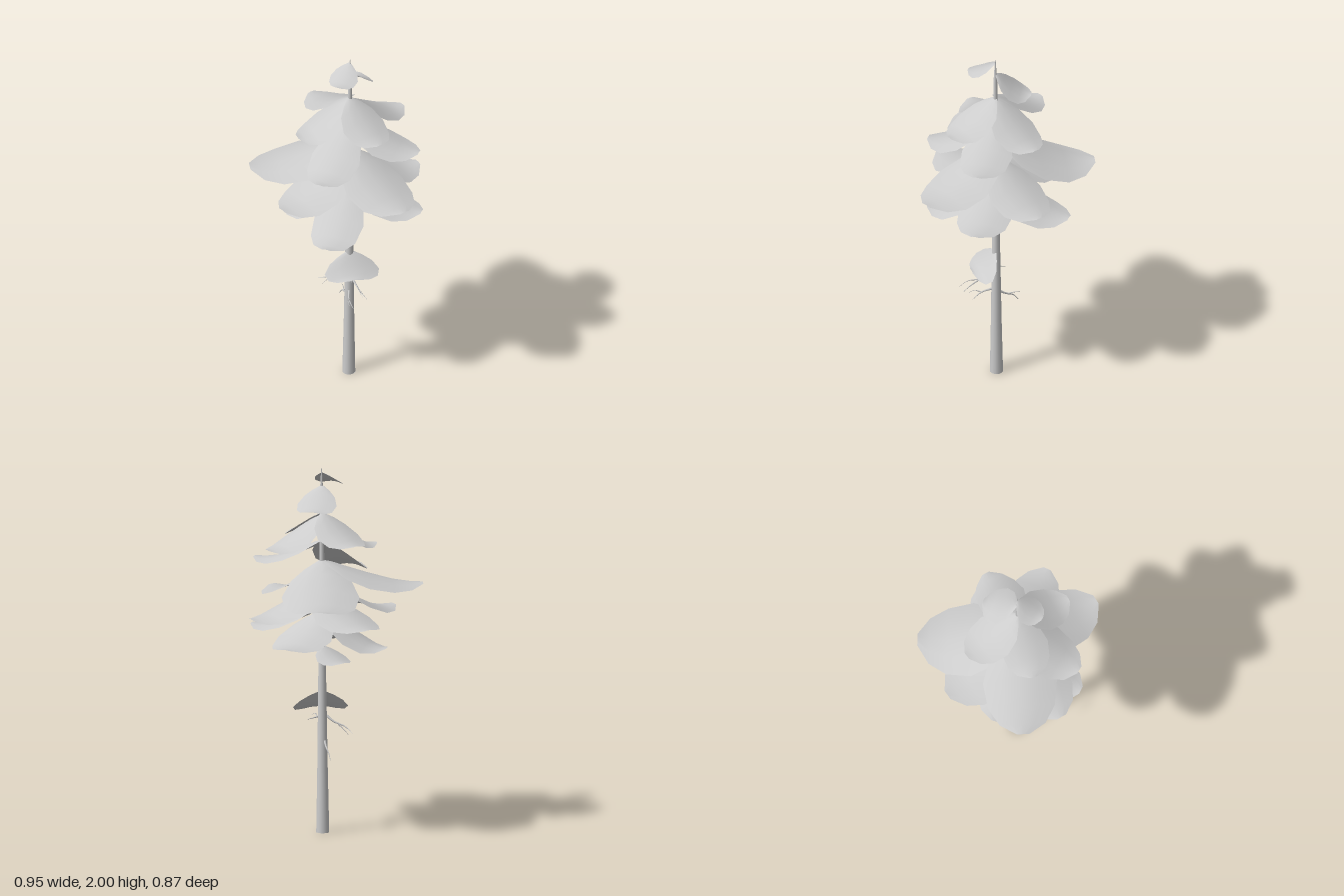
import * as THREE from 'three';

const TX = -0.022, TZ = -0.017; // trunk axis

// Frond outline rows: distance along, relative half width, relative fall
const ROWS = [
  [0, 0.1, 0], [0.1, 0.45, 0.1], [0.22, 0.78, 0.29], [0.45, 1, 0.62],
  [0.7, 0.9, 0.92], [0.88, 0.62, 1.02], [1, 0.16, 1],
];
const COLS = [-1, -0.5, 0, 0.5, 1];

// Broad drooping frond from the trunk at height y0 to the tip (x, y, z)
function frondGeometry(y0, x, y, z, halfWidth) {
  const dx = x - TX, dz = z - TZ, len = Math.hypot(dx, dz);
  const px = dz / len, pz = -dx / len;
  const pos = [], idx = [], n = COLS.length;
  for (const [t, w, f] of ROWS) {
    for (const v of COLS) {
      const side = v * w * halfWidth;
      const sag = 0.3 * halfWidth * w * v * v * (1 - 0.6 * t);
      pos.push(TX + dx * t + px * side, y0 + (y - y0) * f - sag, TZ + dz * t + pz * side);
    }
  }
  for (let r = 0; r < ROWS.length - 1; r++) {
    for (let c = 0; c < n - 1; c++) {
      const a = r * n + c, b = a + 1, d = a + n, e = d + 1;
      idx.push(a, b, d, b, e, d);
    }
  }
  const g = new THREE.BufferGeometry();
  g.setAttribute('position', new THREE.Float32BufferAttribute(pos, 3));
  g.setIndex(idx);
  g.computeVertexNormals();
  // Keep the face fronts upward
  if (g.attributes.normal.getY(2 * n + 2) < 0) {
    g.setIndex(idx.reverse());
    g.computeVertexNormals();
  }
  return g;
}

// Start height, tip x, y, z, half width
const CROWN = [
  [1.98, 0.03, 1.91, 0.13, 0.08], [1.91, -0.12, 1.8, -0.185, 0.11],
];
const UPPER = [
  [1.75, -0.15, 1.58, 0.26, 0.13], [1.76, 0.28, 1.62, 0.06, 0.125],
  [1.76, -0.35, 1.63, -0.06, 0.13], [1.75, 0.05, 1.59, -0.355, 0.13],
  [1.61, 0.34, 1.49, -0.18, 0.14], [1.61, 0.1, 1.42, 0.35, 0.14],
];
const MIDDLE = [
  [1.5, -0.36, 1.37, 0.41, 0.2], [1.5, -0.41, 1.32, -0.39, 0.21],
  [1.44, 0.47, 1.28, 0.07, 0.18], [1.37, 0.1, 1.21, -0.425, 0.16],
  [1.39, -0.1, 1.21, 0.43, 0.17], [1.31, -0.47, 1.19, -0.08, 0.17],
];
const LOWER = [
  [1.25, 0.36, 1.12, -0.18, 0.15], [1.22, -0.16, 1.08, -0.415, 0.16],
  [1.22, -0.34, 1.04, 0.17, 0.16], [1.22, 0.13, 1.01, 0.33, 0.14],
  [1.03, -0.21, 0.96, -0.03, 0.1], [0.78, 0.09, 0.67, 0.06, 0.15],
];

// Bare twigs: points along each, then thickness
const TWIGS = [
  [[[-0.02, 0.65, 0], [-0.08, 0.61, 0.02], [-0.13, 0.59, 0.05], [-0.19, 0.56, 0.05]], 0.008],
  [[[-0.1, 0.6, 0.03], [-0.14, 0.56, 0.05], [-0.15, 0.54, 0.06]], 0.004],
  [[[-0.02, 0.65, 0], [0.05, 0.62, 0.02], [0.11, 0.6, 0.04], [0.17, 0.58, 0.05]], 0.008],
  [[[0.06, 0.615, 0.02], [0.12, 0.62, 0.06], [0.17, 0.6, 0.08]], 0.004],
  [[[0, 0.625, 0.01], [0.04, 0.64, 0.04], [0.07, 0.64, 0.06]], 0.004],
  [[[-0.03, 0.52, -0.01], [-0.08, 0.48, -0.04], [-0.12, 0.46, -0.06], [-0.15, 0.42, -0.07]], 0.008],
  [[[-0.09, 0.475, -0.045], [-0.12, 0.48, -0.07], [-0.15, 0.475, -0.09]], 0.004],
  [[[-0.01, 0.53, 0], [0.03, 0.51, 0.04], [0.08, 0.48, 0.06]], 0.007],
  [[[0.03, 0.51, 0.04], [0.05, 0.52, 0.07], [0.08, 0.51, 0.09]], 0.004],
];

// Tapering twig tube
function twigGeometry(points, radius) {
  const curve = new THREE.CatmullRomCurve3(points.map((p) => new THREE.Vector3(...p)));
  const seg = 8, sides = 5;
  const g = new THREE.TubeGeometry(curve, seg, radius, sides);
  const p = g.attributes.position, v = new THREE.Vector3();
  for (let i = 0; i < p.count; i++) {
    const t = Math.floor(i / (sides + 1)) / seg;
    const c = curve.getPointAt(t);
    v.fromBufferAttribute(p, i).sub(c).multiplyScalar(1 - 0.85 * t).add(c);
    p.setXYZ(i, v.x, v.y, v.z);
  }
  return g;
}

export function createModel() {
  const model = new THREE.Group();
  model.name = 'conifer';
  const grey = new THREE.MeshStandardMaterial({ color: 0xcccccc, side: THREE.DoubleSide });
  grey.name = 'pale grey';

  const add = (geometry, name, parent) => {
    const mesh = new THREE.Mesh(geometry, grey);
    mesh.name = name;
    parent.add(mesh);
    return mesh;
  };

  // Trunk, tapering to a point
  const profile = [[0.036, 0], [0.029, 0.35], [0.024, 0.7], [0.019, 1.05], [0.014, 1.5], [0.011, 1.85], [0.002, 2]];
  const trunk = add(new THREE.LatheGeometry(profile.map((p) => new THREE.Vector2(...p)), 12), 'trunk', model);
  trunk.position.set(-0.028, 0, -0.018);
  trunk.rotation.z = -0.005;
  const base = add(new THREE.CircleGeometry(0.036, 12), 'trunkBase', model);
  base.position.set(-0.028, 0.0005, -0.018);
  base.rotation.x = Math.PI / 2;

  // Tiers of fronds
  const tiers = { crown: CROWN, upper: UPPER, middle: MIDDLE, lower: LOWER };
  for (const [name, list] of Object.entries(tiers)) {
    const tier = new THREE.Group();
    tier.name = name + 'Fronds';
    model.add(tier);
    list.forEach((f, i) => add(frondGeometry(...f), name + 'Frond' + (i + 1), tier));
  }

  // Bare twigs below the foliage
  const twigs = new THREE.Group();
  twigs.name = 'twigs';
  model.add(twigs);
  TWIGS.forEach(([points, r], i) => add(twigGeometry(points, r), 'twig' + (i + 1), twigs));

  return model;
}
